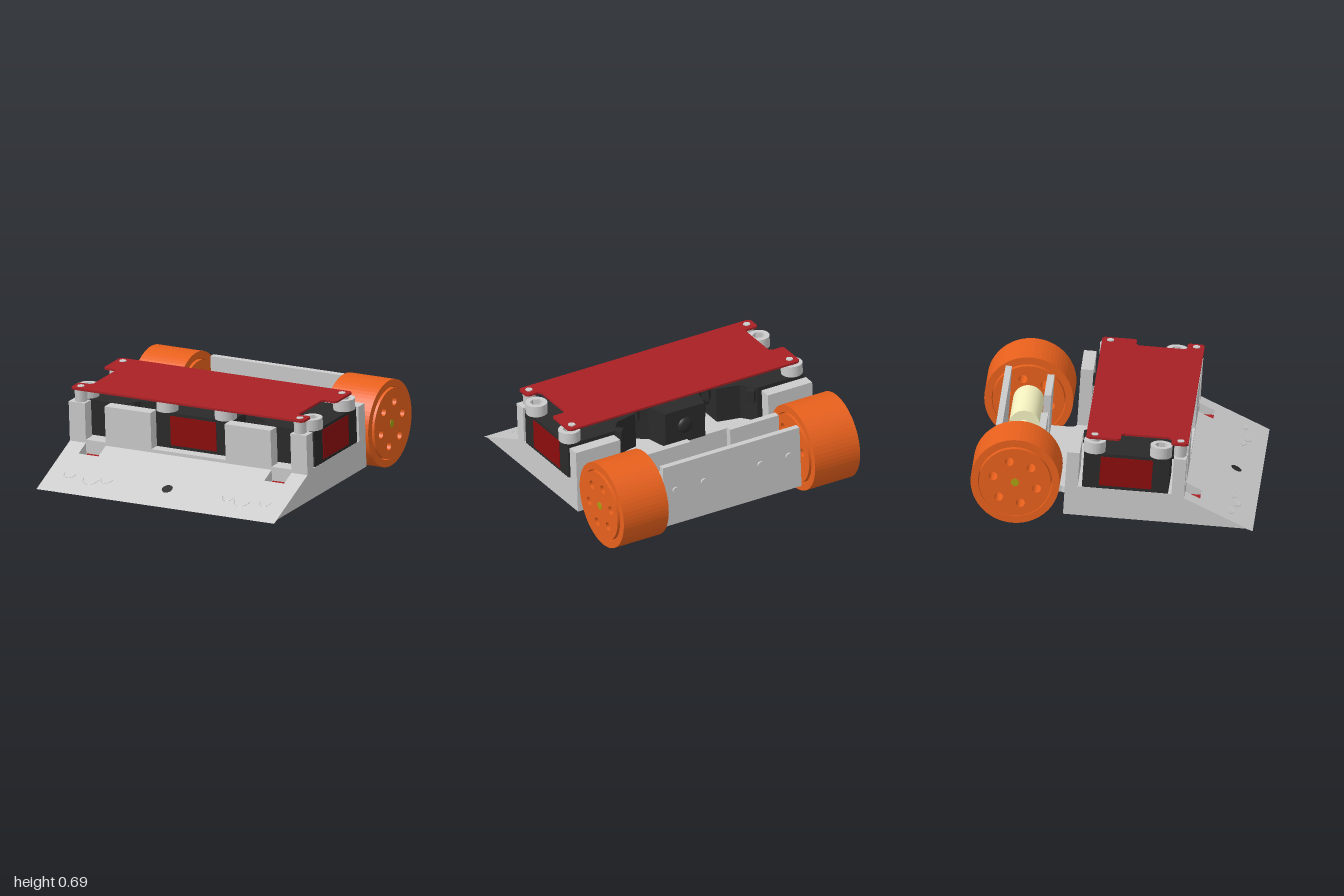
import * as THREE from 'three';

const mat = (color) => new THREE.MeshStandardMaterial({ color });
const GREY = mat(0xcccccc), BLACK = mat(0x2a2a2a), RED = mat(0xa82024), LABEL = mat(0x8c0c0c);
const ORANGE = mat(0xe8601c), CREAM = mat(0xf4f2c0), BRASS = mat(0xa8a010);

const toShape = (pts) => new THREE.Shape(pts.map(([a, b]) => new THREE.Vector2(a, b)));
const circle = (x, y, r) => new THREE.Path().absarc(x, y, r, 0, Math.PI * 2, true);

function add(parent, name, geometry, material, x = 0, y = 0, z = 0) {
  const m = new THREE.Mesh(geometry, material);
  m.name = name;
  m.position.set(x, y, z);
  parent.add(m);
  return m;
}

// box from min/max corners
function block(parent, name, material, x0, x1, y0, y1, z0, z1) {
  return add(parent, name, new THREE.BoxGeometry(x1 - x0, y1 - y0, z1 - z0), material,
    (x0 + x1) / 2, (y0 + y1) / 2, (z0 + z1) / 2);
}

// (z, y) side profile extruded from x0 to x1
function slabGeometry(shape, x0, x1) {
  return new THREE.ExtrudeGeometry(shape, { depth: x1 - x0, bevelEnabled: false, curveSegments: 32 })
    .rotateY(-Math.PI / 2).translate(x1, 0, 0);
}

// (x, z) plan extruded from y0 to y1
function planGeometry(shape, y0, y1) {
  return new THREE.ExtrudeGeometry(shape, { depth: y1 - y0, bevelEnabled: false, curveSegments: 20 })
    .rotateX(Math.PI / 2).translate(0, y1, 0);
}

// socket-head screw standing on y
function screw(parent, x, y, z) {
  const s = new THREE.Shape().absarc(0, 0, 0.078, 0, Math.PI * 2, false);
  const hex = [];
  for (let i = 0; i < 6; i++) hex.push(new THREE.Vector2(0.045 * Math.cos(-i * Math.PI / 3), 0.045 * Math.sin(-i * Math.PI / 3)));
  s.holes.push(new THREE.Path(hex));
  add(parent, 'screwHead', planGeometry(s, 0, 0.082), GREY, x, y, z);
  add(parent, 'screwSocketFloor', new THREE.CylinderGeometry(0.05, 0.05, 0.03, 6), GREY, x, y + 0.016, z);
}

// distance sensor: face at z = 0 looking along +z, tapering to the back
function sensor(name) {
  const g = new THREE.Group();
  g.name = name;
  const plan = toShape([[-0.305, 0], [0.305, 0], [0.305, -0.38], [0.2, -0.46], [0.16, -0.63],
    [-0.16, -0.63], [-0.2, -0.46], [-0.305, -0.38]]);
  add(g, 'sensorBody', planGeometry(plan, 0.217, 0.48), BLACK);
  block(g, 'sensorWindow', LABEL, -0.185, 0.185, 0.24, 0.457, -0.01, 0.004);
  for (const s of [-1, 1]) {
    screw(g, s * 0.235, 0.48, -0.055);
    const ear = block(g, 'sensorCorner', BLACK, s * 0.29 - 0.03, s * 0.29 + 0.03, 0.38, 0.475, -0.45, -0.39);
    ear.rotation.y = Math.PI / 4;
  }
  const dome = add(g, 'cableGland', new THREE.SphereGeometry(0.06, 24, 12), BLACK, 0, 0.35, -0.63);
  dome.scale.z = 0.45;
  return g;
}

function buildChassis() {
  const g = new THREE.Group();
  g.name = 'chassis';
  const blade = [[0.95, 0], [1.0, -0.016], [0.5, 0.193]];
  const post = [[0.5, 0.485], [0.41, 0.485], [0.41, 0.217]];
  const rearPost = [[-0.255, 0.217], [-0.255, 0.47], [-0.345, 0.47], [-0.345, 0]];

  // centre of the wedge, under the front sensor
  add(g, 'wedgeCentre', slabGeometry(toShape([...blade, [0.5, 0.217], [-0.2, 0.217], [-0.2, 0]]), -0.3, 0.3), GREY);

  for (const s of [-1, 1]) {
    const slab = (name, pts, a, b, material = GREY) =>
      add(g, name, slabGeometry(toShape(pts), Math.min(s * a, s * b), Math.max(s * a, s * b)), material);
    // wedge sections with their upright posts
    slab('wedgeInner', [...blade, ...post, [-0.2, 0.217], [-0.2, 0]], 0.3, 0.6);
    slab('wedgeMiddle', [...blade, ...post, ...rearPost], 0.6, 0.67);
    slab('wedgeOuter', [...blade, ...post, ...rearPost], 0.83, 0.96);
    // slot with the floor sensor opening
    slab('slotLip', [blade[0], blade[1], [0.61, 0.147], [0.61, 0]], 0.67, 0.83);
    slab('slotRear', [[0.5, 0], [0.5, 0.217], ...rearPost], 0.67, 0.83);
    for (const x of [0.685, 0.815])
      block(g, 'slotFrame', GREY, s * x - 0.015, s * x + 0.015, 0, 0.1, 0.5, 0.61);
    block(g, 'floorSensorBoard', RED, s * 0.75 - 0.07, s * 0.75 + 0.07, 0.1, 0.115, 0.5, 0.61);
    block(g, 'floorSensorEye', BLACK, s * 0.75 - 0.03, s * 0.75 + 0.03, 0.06, 0.1, 0.53, 0.585);

    // side sensor
    const side = sensor('sideSensor');
    side.position.set(s * 0.958, 0, 0.08);
    side.rotation.y = s * Math.PI / 2;
    g.add(side);

    // board standoffs and bolts
    for (const z of [0.45, -0.16]) {
      add(g, 'standoff', new THREE.CylinderGeometry(0.045, 0.045, 0.105, 6), GREY, s * 0.885, 0.532, z);
      add(g, 'boardBolt', new THREE.CylinderGeometry(0.025, 0.025, 0.02, 20), GREY, s * 0.885, 0.588, z);
    }

    // motor cradle wall
    const x0 = s > 0 ? 0.16 : -0.555;
    block(g, 'motorCradle', GREY, x0, x0 + 0.395, 0.04, 0.43, -0.575, -0.525);

    // rear wall screws
    for (const x of [0.23, 0.46])
      add(g, 'rearScrew', new THREE.CylinderGeometry(0.025, 0.025, 0.02, 20).rotateX(Math.PI / 2), GREY, s * x, 0.27, -0.878);

    // bolt heads under the floor
    for (const [x, z] of [[0.165, 0.43], [0.82, 0.41], [0.57, -0.11]])
      add(g, 'floorBolt', new THREE.CylinderGeometry(0.025, 0.025, 0.01, 20), GREY, s * x, 0.002, z);

    // shallow curved marks on the wedge
    for (const [x, z, r] of [[0.79, 0.81, 0.045], [0.61, 0.83, 0.06], [0.49, 0.81, 0.045]]) {
      const arc = new THREE.TorusGeometry(r, 0.003, 6, 24, Math.PI).rotateX(Math.PI / 2);
      add(g, 'wedgeMark', arc, GREY, s * x, 0.193 - (z - 0.5) * 0.418, z).rotation.x = 0.396;
    }
  }
  // screw recess in the middle of the blade
  const recess = add(g, 'bladeRecess', new THREE.CylinderGeometry(0.04, 0.04, 0.004, 24), BLACK, 0, 0.059, 0.82);
  recess.rotation.x = 0.396;
  add(g, 'bladeRecessUnder', new THREE.CylinderGeometry(0.035, 0.035, 0.004, 24), BLACK, 0, 0, 0.82);

  const front = sensor('frontSensor');
  front.position.z = 0.42;
  g.add(front);

  // rear floor with a small hole, and the rear wall
  const floor = toShape([[-0.6, -0.2], [-0.6, -0.345], [-0.575, -0.352], [-0.555, -0.38], [-0.555, -0.875],
    [0.555, -0.875], [0.555, -0.38], [0.575, -0.352], [0.6, -0.345], [0.6, -0.2]]);
  floor.holes.push(circle(0, -0.69, 0.024));
  add(g, 'rearFloor', planGeometry(floor, 0, 0.045), GREY);
  block(g, 'rearWall', GREY, -0.555, 0.555, 0, 0.47, -0.875, -0.83);

  // top board, notched at both sides
  const half = [[0.94, 0.505], [0.94, 0.4], [0.925, 0.385], [0.85, 0.385], [0.83, 0.365], [0.83, 0.045],
    [0.85, 0.025], [0.925, 0.025], [0.94, 0.01], [0.94, -0.2], [0.92, -0.22]];
  half[0] = [0.94, 0.485];
  half.unshift([0.92, 0.505]);
  const board = toShape([...half, ...half.map(([x, z]) => [-x, z]).reverse()]);
  for (const s of [-1, 1]) for (const z of [0.45, -0.16]) board.holes.push(circle(s * 0.885, z, 0.026));
  add(g, 'topBoard', planGeometry(board, 0.578, 0.593), RED);

  g.position.y = 0.079;
  g.rotation.x = 0.063;
  return g;
}

// wheel, shaft and motor on the +x side (s = 1) or -x side (s = -1)
function buildDrive(s) {
  const g = new THREE.Group();
  g.name = s > 0 ? 'leftDrive' : 'rightDrive';
  const span = (a, b) => [Math.min(s * a, s * b), Math.max(s * a, s * b)];

  const tire = new THREE.Shape().absarc(0, 0, 0.315, 0, Math.PI * 2, false);
  tire.holes.push(circle(0, 0, 0.262));
  add(g, 'tire', slabGeometry(tire, ...span(0.595, 0.96)), ORANGE);

  const hub = new THREE.Shape().absarc(0, 0, 0.254, 0, Math.PI * 2, false);
  for (let i = 0; i < 6; i++) {
    const a = 1.82 + i * Math.PI / 3;
    hub.holes.push(circle(0.16 * Math.cos(a), 0.16 * Math.sin(a), 0.031));
  }
  add(g, 'hub', slabGeometry(hub, ...span(0.58, 0.975)), ORANGE);
  add(g, 'hubSeat', slabGeometry(new THREE.Shape().absarc(0, 0, 0.264, 0, Math.PI * 2, false), ...span(0.74, 0.76)), ORANGE);

  const rod = (name, r, a, b, m) =>
    add(g, name, new THREE.CylinderGeometry(r, r, b - a, 40).rotateZ(Math.PI / 2), m, s * (a + b) / 2);
  rod('shaft', 0.028, 0.55, 0.978, BRASS);
  rod('motor', 0.11, 0.1, 0.58, CREAM);
  rod('motorBoss', 0.04, 0.06, 0.1, CREAM);
  for (const z of [-0.025, 0.025])
    block(g, 'motorTerminal', CREAM, ...span(0.035, 0.1), -0.01, 0.01, z - 0.012, z + 0.012);

  g.position.set(0, 0.337, -0.683);
  return g;
}

export function createModel() {
  const model = new THREE.Group();
  model.name = 'wedgeRobot';
  model.add(buildChassis(), buildDrive(1), buildDrive(-1));
  return model;
}
